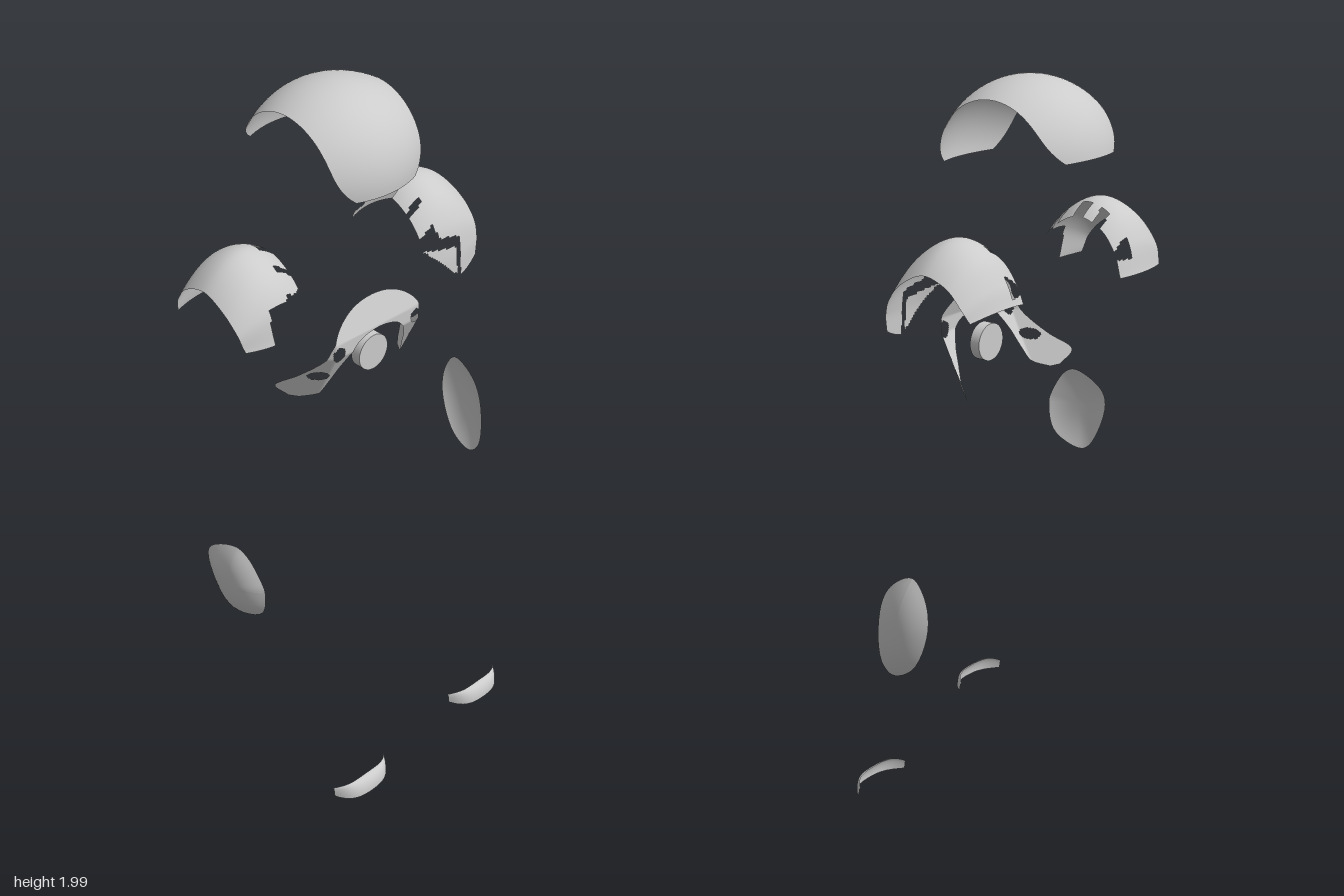
import * as THREE from 'three';

const mat = new THREE.MeshStandardMaterial({ color: 0xcccccc, side: THREE.DoubleSide });

// Curved sheet over a u,v grid; cells for which skip(x, y, z) is true are left open
function sheet(name, nu, nv, fn, skip = () => false) {
  const pos = [], idx = [];
  for (let j = 0; j <= nv; j++)
    for (let i = 0; i <= nu; i++) pos.push(...fn(i / nu, j / nv));
  for (let j = 0; j < nv; j++) {
    for (let i = 0; i < nu; i++) {
      const mid = fn((i + 0.5) / nu, (j + 0.5) / nv);
      if (skip(...mid)) continue;
      const a = j * (nu + 1) + i, b = a + 1, c = a + nu + 1, d = c + 1;
      idx.push(a, b, d, a, d, c);
    }
  }
  const geo = new THREE.BufferGeometry();
  geo.setAttribute('position', new THREE.Float32BufferAttribute(pos, 3));
  geo.setIndex(idx);
  geo.computeVertexNormals();
  const mesh = new THREE.Mesh(geo, mat);
  mesh.name = name;
  return mesh;
}

const spline = (pts, closed = false) =>
  new THREE.CatmullRomCurve3(pts.map(([a, b]) => new THREE.Vector3(a, b, 0)), closed);

// Head cap: arch from front to back, crowned across and rounded at its ends
function headCap() {
  return sheet('headCap', 24, 48, (u, v) => {
    const s = 2 * v - 1, k = 2 * u - 1;
    const x = 0.155 * (1 - 0.05 * s ** 2 - 0.3 * s ** 8) * k;
    const r = 0.212 - 0.045 * (x / 0.155) ** 2;
    const t = THREE.MathUtils.degToRad(-5 + 178 * v);
    return [x - 0.01, 1.787 + r * Math.sin(t), -0.113 + r * Math.cos(t)];
  });
}

// Shoulder pad: arched shell with a toothed inner edge and a broken front
function shoulderPad(name, side, frontPath, rearEnd, skip) {
  const path = spline([...frontPath, [0.01, 1.53], [-0.04, 1.6], [-0.12, 1.64],
    [-0.2, 1.61], [-0.25, 1.54], rearEnd]);
  return sheet(name, 32, 90, (u, v) => {
    const x = 0.195 + 0.215 * u;
    const p = path.getPoint(v);
    const off = x - 0.285;
    const drop = off > 0 ? 0.07 * (off / 0.125) ** 2 : 0.04 * (off / 0.09) ** 2;
    const dz = -0.12 - p.x, dy = 1.45 - p.y, len = Math.hypot(dz, dy);
    const xs = x - 0.018 * u * Math.abs(2 * v - 1) ** 3;
    return [side * xs + (side < 0 ? -0.023 : 0), p.y + drop * dy / len, p.x + 0.3 * drop * dz / len];
  }, (x, y, z) => {
    const ax = side < 0 ? -x - 0.023 : x;
    // uneven teeth along the inner edge
    const wave = Math.sin(z * 95) + 0.6 * Math.sin(z * 41 + 1);
    const tooth = ax < 0.245 && wave > 0.35 && y > 1.5;
    return tooth || skip(ax, y, z);
  });
}

// Collar: arched plate with flared, pierced ends bent back round the chest
function collar() {
  const mirrored = half => spline([...half.slice(1).reverse().map(([x, y]) => [-x, y]), ...half]);
  const outer = mirrored([[0, 1.45], [0.08, 1.435], [0.14, 1.39], [0.172, 1.31], [0.2, 1.265],
    [0.232, 1.225], [0.2, 1.185]]);
  const inner = mirrored([[0, 1.365], [0.04, 1.36], [0.075, 1.345], [0.112, 1.29], [0.13, 1.24],
    [0.15, 1.195], [0.18, 1.18]]);
  const holes = [[0.136, 1.34, 0.017, 0.021], [0.165, 1.265, 0.019, 0.014]];
  const mesh = sheet('collar', 36, 200, (u, v) => {
    const p = outer.getPoint(v).lerp(inner.getPoint(v), u);
    const z = 0.055 - 1.1 * Math.max(0, Math.abs(p.x) - 0.148)
      - 0.5 * Math.max(0, 1.33 - p.y) - 0.35 * Math.max(0, p.y - 1.37);
    return [p.x, p.y, z];
  }, (x, y) => holes.some(([hx, hy, rx, ry]) =>
    Math.hypot((Math.abs(x) - hx) / rx, (y - hy) / ry) < 1));
  mesh.position.x = -0.01;
  return mesh;
}

// Round chest disc below the collar arch
function chestDisc() {
  const mesh = new THREE.Mesh(new THREE.CylinderGeometry(0.051, 0.051, 0.03, 40), mat);
  mesh.name = 'chestDisc';
  mesh.rotation.x = Math.PI / 2;
  mesh.position.set(-0.01, 1.28, 0.022);
  return mesh;
}

// Hand guard: dished plate with an outer dome and a shallower inner face
function handGuard(name, side, outline, rimX, lean, twist) {
  const curve = spline(outline, true);
  const n = outline.length;
  const cz = outline.reduce((s, p) => s + p[0], 0) / n;
  const cy = outline.reduce((s, p) => s + p[1], 0) / n;
  const group = new THREE.Group();
  group.name = name;
  for (const [part, bulge] of [['outerFace', 0.034], ['innerFace', 0.016]]) {
    group.add(sheet(part, 48, 10, (u, v) => {
      const p = curve.getPoint(u);
      const y = cy + (p.y - cy) * v, z = cz + (p.x - cz) * v;
      return [side * (rimX + lean * (y - cy) + twist * (z - cz) + bulge * (1 - v ** 2.5)), y, z];
    }));
  }
  return group;
}

// Toe cap: crescent shell curling up and back from the sole, lower at its tips
function toeCap(name, x0, y0, z0) {
  return sheet(name, 28, 10, (u, v) => {
    const k = 2 * u - 1, t = v * Math.PI / 2;
    const depth = 0.026 * (1 - 0.75 * k * k);
    const height = 0.047 * (1 - 0.1 * k * k - 0.35 * k ** 6);
    return [x0 + 0.097 * k,
      y0 + 0.006 * k ** 6 + height * Math.sin(t),
      z0 - 0.018 * k * k - 0.034 * k ** 4 - depth * (1 - Math.cos(t))];
  });
}

export function createModel() {
  const model = new THREE.Group();
  model.name = 'armourSet';
  model.add(headCap());

  // the left pad has a slot and a slit at the front, the right one a missing corner
  model.add(shoulderPad('leftShoulderPad', 1, [[0.035, 1.37], [0.03, 1.45]], [-0.27, 1.485],
    (x, y, z) => z > -0.06 && ((x < 0.31 && Math.abs(y - 1.49 + 0.2 * (x - 0.25)) < 0.014)
      || (Math.abs(x - 0.312) < 0.006 && y < 1.49)
      || (x < 0.312 && y < 1.47 - 0.95 * (x - 0.21)))));
  model.add(shoulderPad('rightShoulderPad', -1, [[0.028, 1.44]], [-0.272, 1.455],
    (x, y, z) => z > -0.08 && x < 0.315 && y < 1.535));

  model.add(collar(), chestDisc());

  model.add(handGuard('rightHandGuard', -1, [[0.234, 0.915], [0.225, 0.95], [0.19, 1.01],
    [0.155, 1.027], [0.06, 0.98], [0.042, 0.93], [0.082, 0.81], [0.115, 0.79], [0.21, 0.83]],
    0.585, 0.1, -0.1));
  model.add(handGuard('leftHandGuard', 1, [[-0.225, 0.87], [-0.258, 0.82], [-0.26, 0.73],
    [-0.205, 0.61], [-0.14, 0.577], [-0.108, 0.61], [-0.115, 0.75], [-0.155, 0.83]],
    0.58, 0.07, 0.08));

  model.add(toeCap('rightToeCap', -0.287, 0.08, 0.322));
  model.add(toeCap('leftToeCap', 0.267, 0.008, 0.232));
  return model;
}
